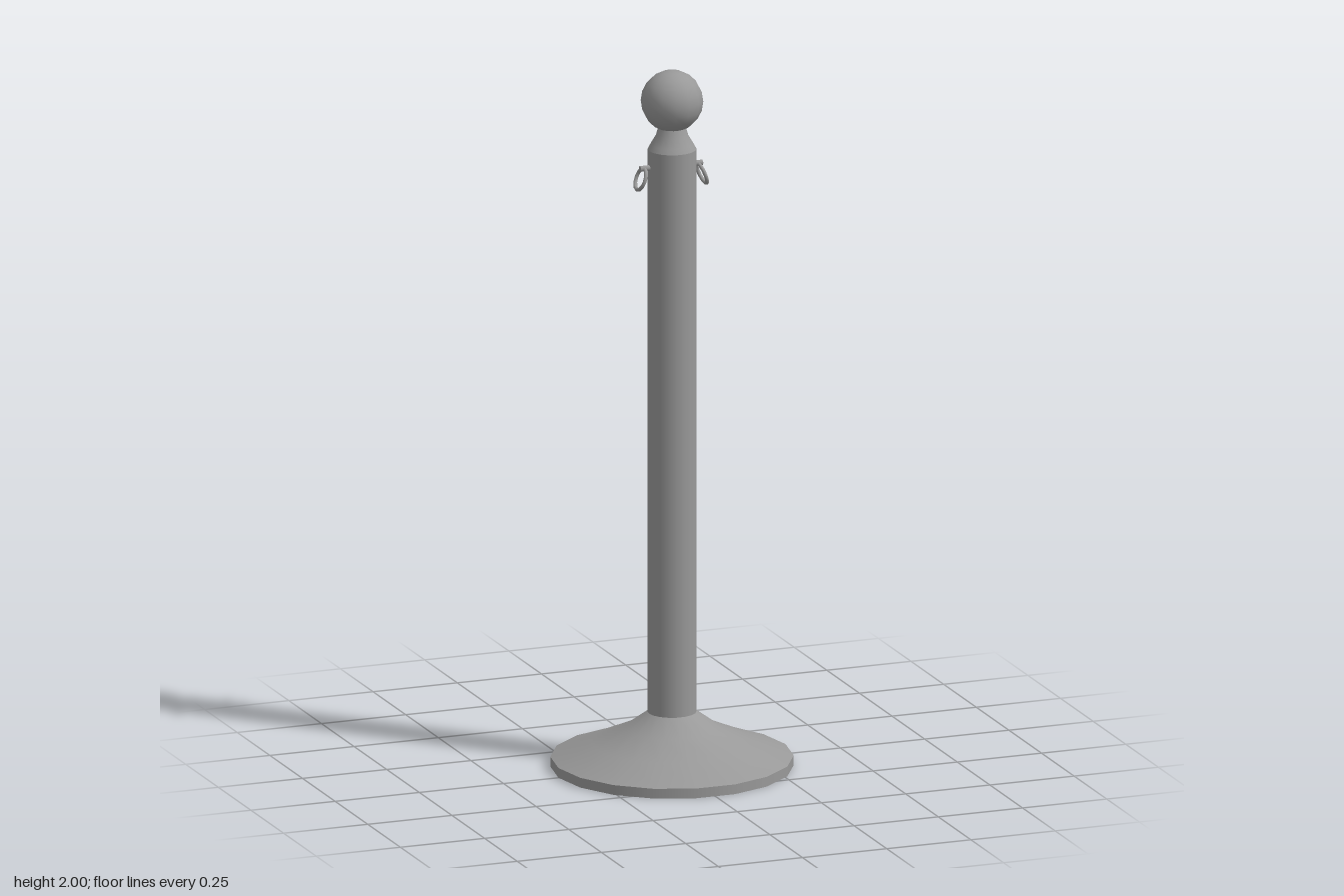
import * as THREE from 'three';

const SIDES = 18;

export function createModel() {
  const root = new THREE.Group();
  const material = new THREE.MeshStandardMaterial({ color: 0x999999 });

  const add = (name, geometry, parent = root) => {
    const mesh = new THREE.Mesh(geometry, material);
    mesh.name = name;
    parent.add(mesh);
    return mesh;
  };
  // Separate profiles keep the edges between parts sharp; a corner lies on the x axis
  const turned = (name, profile) => add(name, new THREE.LatheGeometry(
    profile.map(([r, y]) => new THREE.Vector2(r, y)), SIDES, Math.PI / 2));

  // Weighted foot: underside, rim and flared top
  turned('baseUnderside', [[0, 0], [0.337, 0]]);
  turned('baseRim', [[0.337, 0], [0.337, 0.028]]);
  turned('baseFlare', [[0.337, 0.028], [0.225, 0.07], [0.13, 0.112], [0.068, 0.157]]);

  // Straight post with a tapered neck
  turned('post', [[0.068, 0.14], [0.068, 1.775]]);
  turned('neck', [[0.068, 1.775], [0.06, 1.79], [0.045, 1.815], [0.036, 1.845]]);

  // Ball finial
  add('ball', new THREE.SphereGeometry(0.087, 14, 10)).position.y = 1.913;

  // Hanging chain ring on a short stud, one on each side
  for (const [side, angle, reach] of [['left', 0, 0.088], ['right', Math.PI, 0.093]]) {
    const holder = new THREE.Group();
    holder.name = side + 'RingHolder';
    holder.rotation.y = angle;
    root.add(holder);

    const stud = add(side + 'Stud', new THREE.CylinderGeometry(0.008, 0.008, 0.032, 8), holder);
    stud.rotation.z = -Math.PI / 2;
    stud.position.set(reach - 0.014, 1.727, 0);

    const tilt = new THREE.Group();
    tilt.position.set(reach, 1.697, 0);
    tilt.rotation.z = 0.36;
    holder.add(tilt);
    add(side + 'Ring', new THREE.TorusGeometry(0.031, 0.0055, 8, 12), tilt).rotation.y = Math.PI / 2;
  }
  return root;
}
